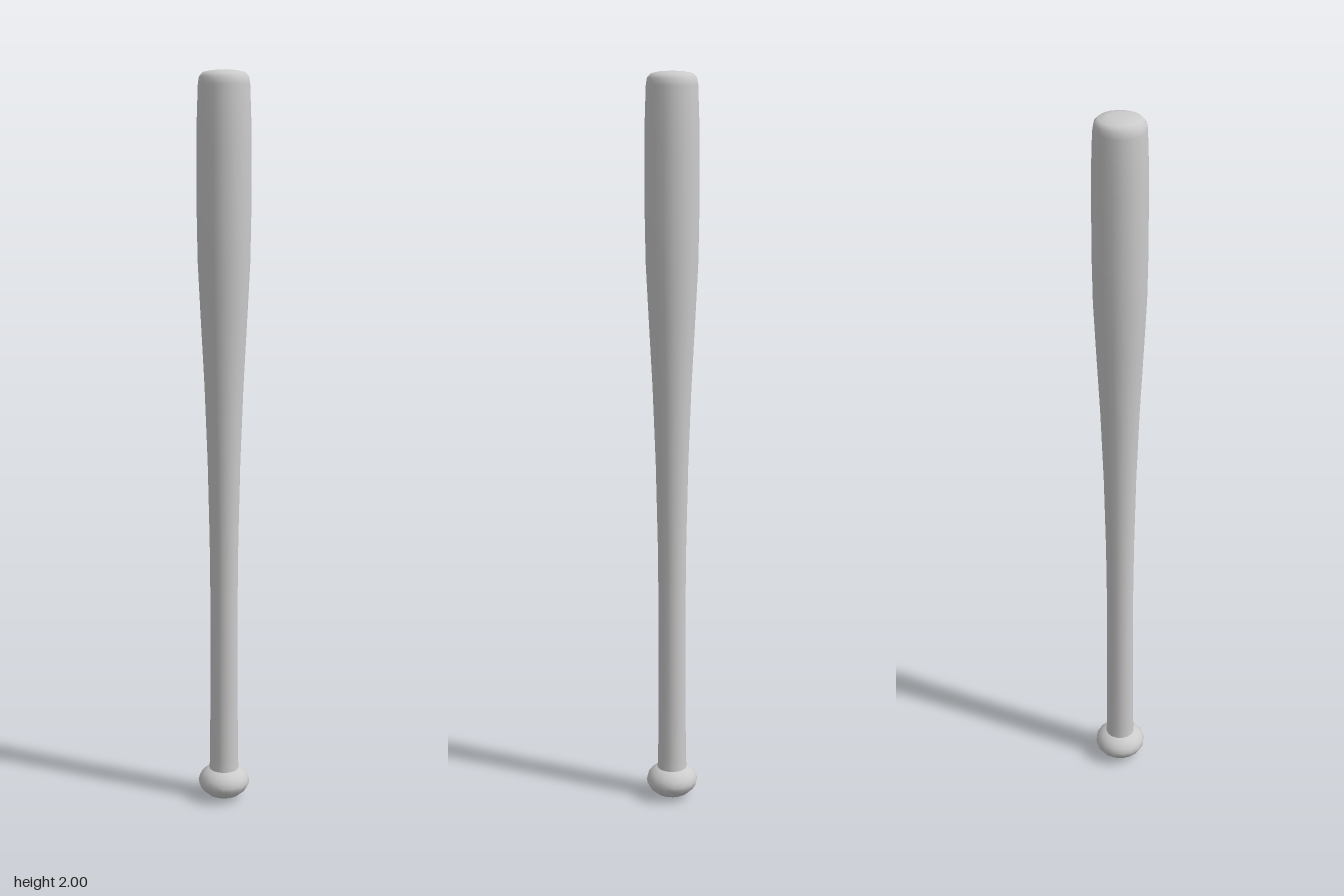
import * as THREE from 'three';

const SIDES = 16;

// Turned part from [radius, height] pairs, bottom to top
function turned(name, profile, material) {
  const points = profile.map(([r, y]) => new THREE.Vector2(r, y));
  const mesh = new THREE.Mesh(new THREE.LatheGeometry(points, SIDES), material);
  mesh.name = name;
  return mesh;
}

export function createModel() {
  const group = new THREE.Group();
  group.name = 'bat';
  const material = new THREE.MeshStandardMaterial({ color: 0xcccccc });

  // Rounded knob at the foot of the handle
  group.add(turned('knob', [
    [0, 0], [0.025, 0.003], [0.045, 0.012], [0.06, 0.025], [0.069, 0.039],
    [0.071, 0.05], [0.068, 0.064], [0.058, 0.077], [0.046, 0.085], [0.038, 0.088],
  ], material));

  // Slim handle flaring into the barrel, closed by a softly domed end
  group.add(turned('handleAndBarrel', [
    [0.041, 0.083], [0.039, 0.12], [0.038, 0.3], [0.037, 0.55], [0.039, 0.75],
    [0.044, 0.97], [0.052, 1.18], [0.062, 1.37], [0.069, 1.51], [0.071, 1.63],
    [0.071, 1.8], [0.07, 1.88], [0.067, 1.965], [0.064, 1.983], [0.054, 1.994],
    [0.03, 1.999], [0, 2],
  ], material));

  return group;
}
